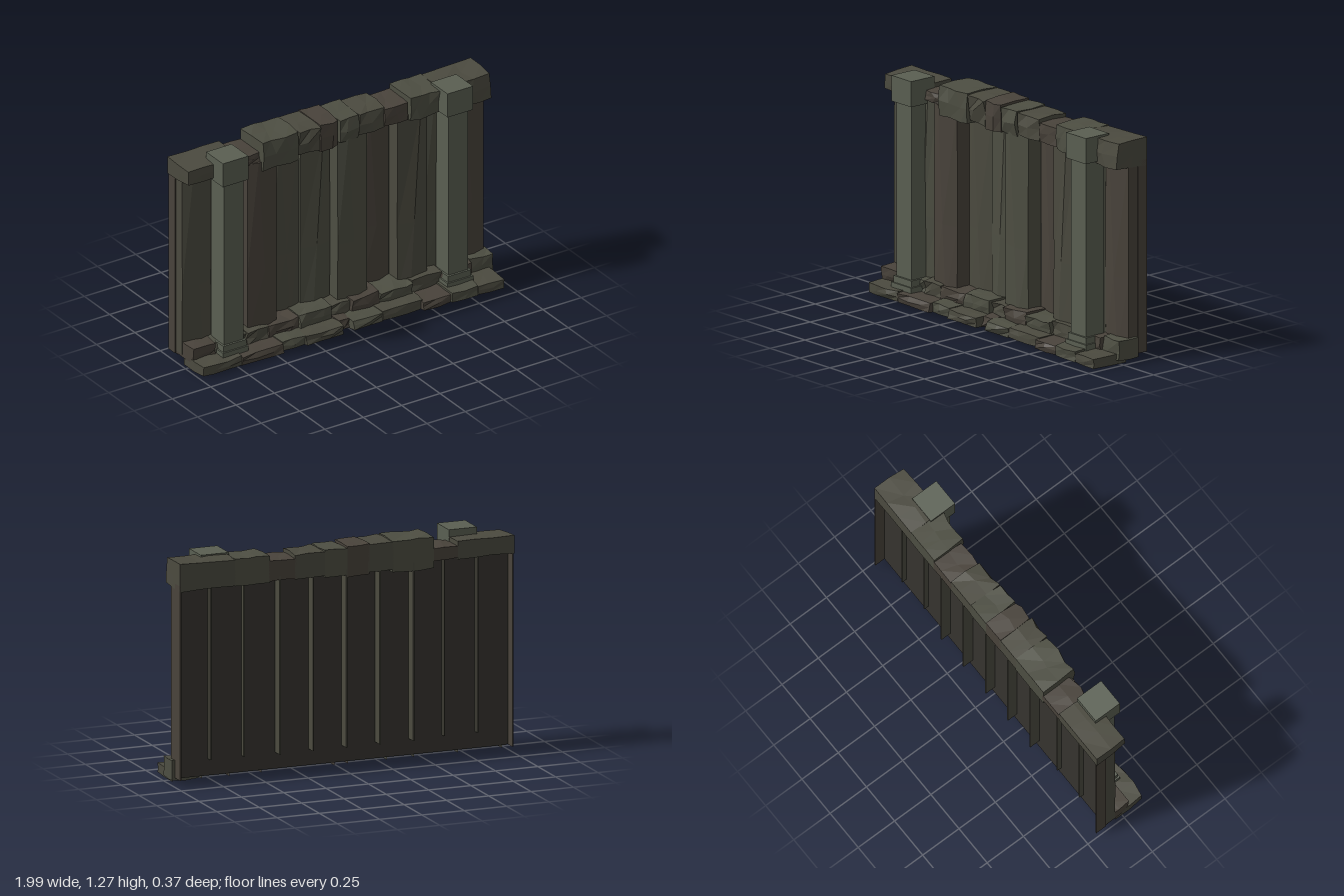
import * as THREE from 'three';
import { mergeVertices } from 'three/addons/utils/BufferGeometryUtils.js';

const mat = (color, side = THREE.FrontSide) =>
  new THREE.MeshStandardMaterial({ color, side, flatShading: true });
const shades = [0x4b4a3f, 0x49433b, 0x4d4e42];
const tones = shades.map((c) => mat(c));
const openTones = shades.map((c) => mat(c, THREE.DoubleSide));
const [olive, brown] = tones;
const grey = mat(0x5a5f52), dark = mat(0x36342f);

export function createModel() {
  const model = new THREE.Group();
  let seed = 7;
  const rnd = () => { // seeded noise in -1..1
    seed = (seed * 16807) % 2147483647;
    return (seed / 2147483647) * 2 - 1;
  };

  // Box given by its limits, with welded vertices that a rule may move
  function block(name, x, y, z, material, segs = [1, 1, 1], move = null) {
    let geo = new THREE.BoxGeometry(x[1] - x[0], y[1] - y[0], z[1] - z[0], ...segs);
    geo.translate((x[0] + x[1]) / 2, (y[0] + y[1]) / 2, (z[0] + z[1]) / 2);
    if (move) {
      const groups = geo.groups;
      geo.deleteAttribute('uv');
      geo.deleteAttribute('normal');
      geo = mergeVertices(geo, 1e-4);
      geo.groups = groups;
      const p = geo.attributes.position, v = new THREE.Vector3();
      for (let i = 0; i < p.count; i++) {
        v.fromBufferAttribute(p, i);
        move(v);
        p.setXYZ(i, v.x, v.y, v.z);
      }
      geo.computeVertexNormals();
    }
    const mesh = new THREE.Mesh(geo, material);
    mesh.name = name;
    model.add(mesh);
    return mesh;
  }

  // Rough-hewn stone: worn front edges, uneven faces, straight back
  function stone(name, x, y, z, material, rough = 0.01) {
    const mx = (x[0] + x[1]) / 2, my = (y[0] + y[1]) / 2;
    const n = x[1] - x[0] > 0.2 ? 3 : 2;
    return block(name, x, y, z, material, [n, 2, 2], (v) => {
      const back = v.z < z[0] + 1e-4;
      const front = v.z > z[1] - 1e-4;
      const endX = v.x < x[0] + 1e-4 || v.x > x[1] - 1e-4;
      const endY = v.y < y[0] + 1e-4 || v.y > y[1] - 1e-4;
      if (front && (endX || endY)) v.z -= 0.008 + 0.006 * rnd();
      if (front && endX) v.x += Math.sign(mx - v.x) * 0.007;
      if (front && endY) v.y += Math.sign(my - v.y) * 0.005;
      if (!endX) v.x += rnd() * rough * 2.5;
      v.y = Math.max(0, v.y + rnd() * rough * 0.5);
      if (!back) v.z += rnd() * rough;
    });
  }

  // Wall slabs at staggered depths, each with a slanting fold down its front
  const pitch = 0.197, left = -0.99;
  const fronts = [-0.045, -0.025, 0.005, -0.08, -0.07, 0, -0.09, -0.005, -0.05, -0.045];
  fronts.forEach((f, i) => {
    const x0 = left + i * pitch;
    block('wallSlab', [x0 + 0.003, x0 + pitch - 0.003], [0.06, 1.14], [-0.115, f],
      tones[(i * 2 + (i > 4 ? 1 : 0)) % 3], [2, 2, 1], (v) => {
        const u = (v.x - x0) / pitch;
        const middle = v.y > 0.1 && v.y < 1.1;
        if (middle) v.y = 0.47;
        if (v.z < f - 1e-4) return;
        const inner = u > 0.1 && u < 0.9;
        v.z += (inner ? 0.014 : -0.01) + (middle ? rnd() * 0.005 : 0);
        if (inner) v.x += (i % 3 === 1 ? -0.06 : 0.06) * (0.5 - v.y);
      });
  });
  block('backWall', [-0.985, 0.975], [0.04, 1.14], [-0.122, -0.1], dark);

  // Thin ribs behind the joints, full depth at the ends
  for (let i = 0; i <= 10; i++) {
    const end = i === 0 || i === 10, shallow = i < 3 || i > 7;
    const x = left + i * pitch + (i === 0 ? 0.004 : i === 10 ? -0.004 : 0);
    block(end ? 'endRib' : 'rib', [x - 0.004, x + 0.004], [end ? 0.04 : 0.13, 1.13],
      [end || !shallow ? -0.185 : -0.15, -0.118], end ? brown : olive);
  }

  // Coping stones: x range, y range, front z
  [
    [-0.995, -0.66, 1.125, 1.222, 0.02], [-0.67, -0.51, 1.13, 1.2, 0.01],
    [-0.52, -0.275, 1.085, 1.263, 0.035], [-0.28, -0.13, 1.1, 1.255, 0.03],
    [-0.14, -0.01, 1.09, 1.26, 0.03], [-0.01, 0.125, 1.1, 1.248, 0.025],
    [0.12, 0.3, 1.105, 1.242, 0.018], [0.29, 0.455, 1.108, 1.222, 0.012],
    [0.45, 0.655, 1.1, 1.25, 0.028], [0.65, 0.98, 1.1, 1.25, 0.03],
  ].forEach(([x0, x1, y0, y1, z], i) =>
    stone('copingStone', [x0, x1], [y0, y1], [-0.185, z], tones[i % 3]));

  // Upper footing course
  [
    [-0.985, -0.83, 0.05], [-0.84, -0.62, 0.04], [-0.63, -0.48, 0.05], [-0.49, -0.28, 0.045],
    [-0.29, -0.07, 0.05], [-0.08, 0.06, 0.035], [0.05, 0.24, 0.055], [0.23, 0.45, 0.06],
    [0.44, 0.65, 0.04], [0.64, 0.85, 0.04], [0.84, 0.995, 0.028],
  ].forEach(([x0, x1, z], i) =>
    stone('upperFooting', [x0, x1], [i < 10 ? 0.042 : 0.022, 0.138 - 0.008 * (i % 2)],
      [-0.11, z], tones[(i + 1) % 3]));
  block('footingCore', [-0.97, 0.95], [0.037, 0.052], [-0.12, 0.07], dark);

  // Lower footing course, hollow underneath and behind: x range, front z, back z
  [
    [-0.98, -0.72, 0.155, -0.045], [-0.73, -0.45, 0.155, 0.02], [-0.46, -0.3, 0.14, -0.045],
    [-0.31, -0.06, 0.153, 0.02], [-0.07, 0.01, 0.11, -0.045], [0.0, 0.2, 0.148, 0.02],
    [0.19, 0.46, 0.145, 0.02], [0.44, 0.63, 0.17, -0.045], [0.62, 0.8, 0.18, 0.02],
    [0.79, 0.965, 0.183, -0.045],
  ].forEach(([x0, x1, z, back], i) => {
    const geo = stone('lowerFooting', [x0, x1], [0, 0.066 - 0.006 * (i % 2)], [back, z],
      openTones[i % 3], 0.007).geometry;
    const kept = geo.groups.filter((g) => g.materialIndex !== 3 && g.materialIndex !== 5);
    const index = Array.from(geo.index.array);
    geo.setIndex(kept.flatMap((g) => index.slice(g.start, g.start + g.count)));
    geo.clearGroups();
  });

  // Square pillars with stepped base and cap
  for (const cx of [-0.742, 0.722]) {
    const part = (name, half, y0, y1) =>
      block(name, [cx - half, cx + half], [y0, y1], [0.022 - half, 0.022 + half], grey);
    part('pillarPlinth', 0.084, 0.055, 0.09);
    part('pillarBase', 0.075, 0.09, 0.127);
    part('pillarShaft', 0.063, 0.127, 1.115);
    part('pillarCap', 0.083, 1.115, 1.26);
  }
  return model;
}
